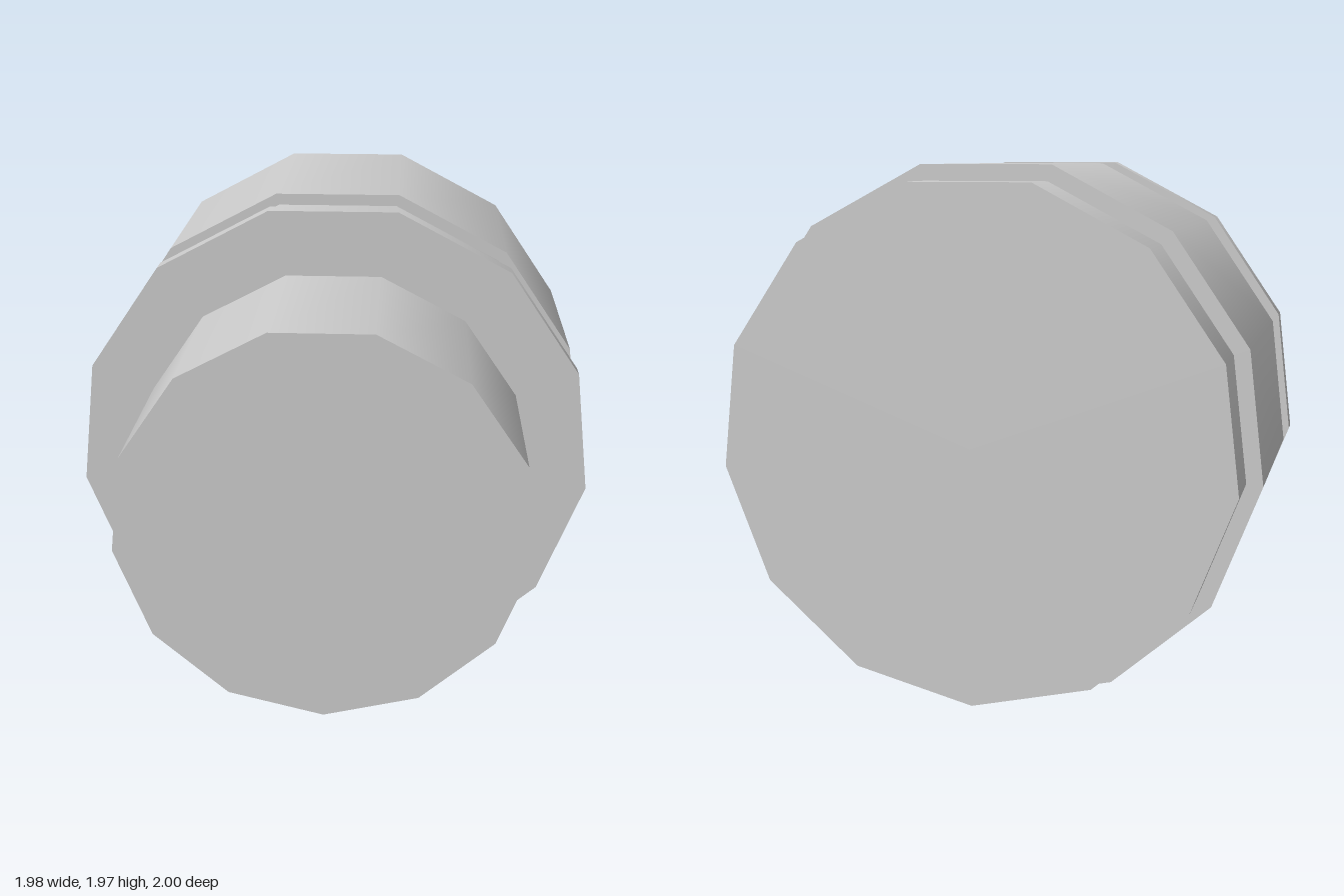
import * as THREE from 'three';

const SIDES = 13;
const AXIS_Y = 1.0;

export function createModel() {
  const group = new THREE.Group();
  group.name = 'steppedBarrel';
  const material = new THREE.MeshStandardMaterial({ color: 0xcccccc });

  // Coaxial drums along z: name, radius, back z, front z
  const drums = [
    ['rearCap', 0.936, -1, -0.79],
    ['mainBody', 0.995, -0.79, 0.026],
    ['neck', 0.951, 0.026, 0.254],
    ['flange', 0.998, 0.254, 0.325],
    ['frontBarrel', 0.747, 0.325, 1],
  ];

  for (const [name, radius, back, front] of drums) {
    const geometry = new THREE.CylinderGeometry(radius, radius, front - back, SIDES);
    geometry.rotateX(Math.PI / 2); // corner points straight down
    const mesh = new THREE.Mesh(geometry, material);
    mesh.name = name;
    mesh.position.set(0, AXIS_Y, (back + front) / 2);
    group.add(mesh);
  }
  return group;
}
